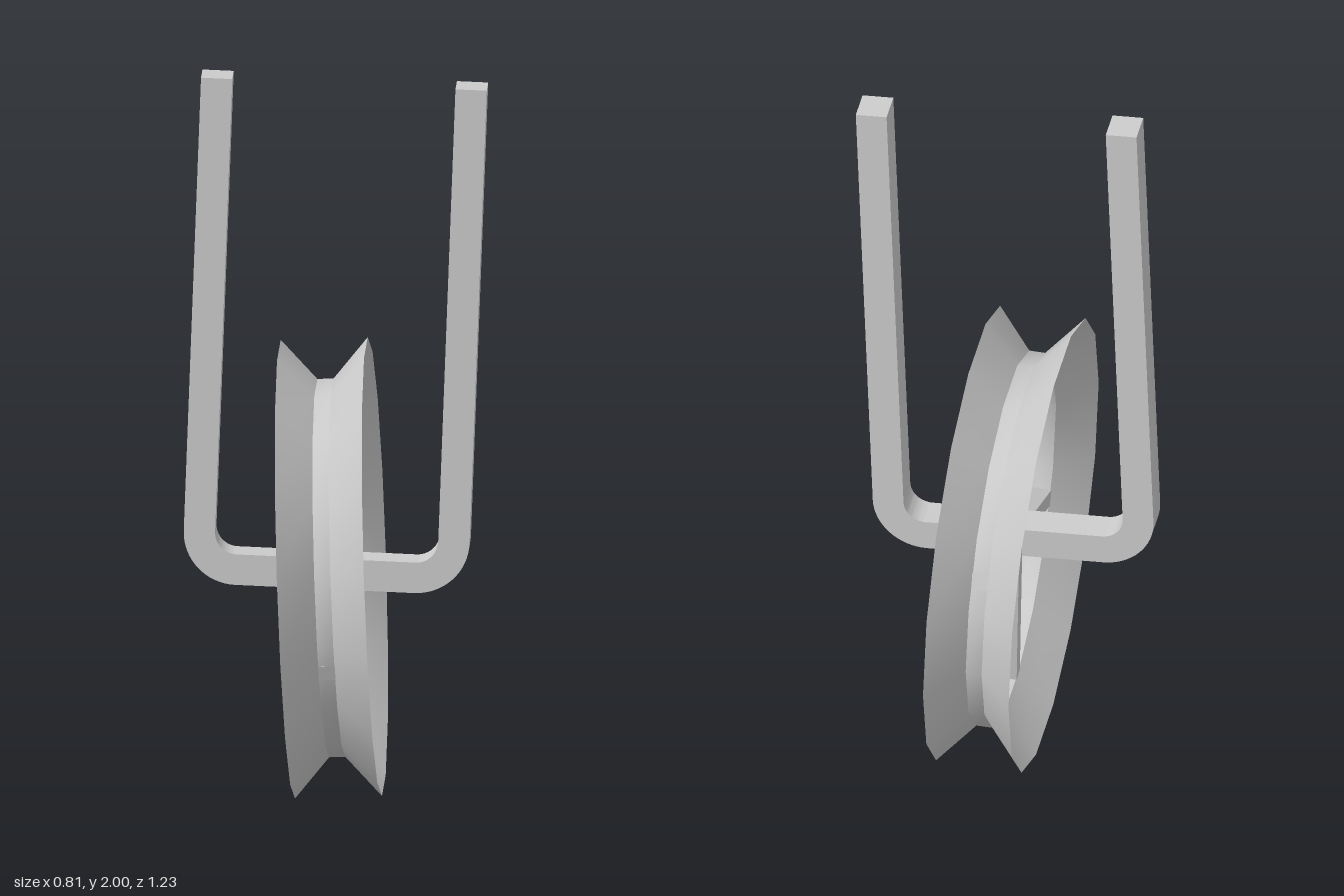
import * as THREE from 'three';
import { toCreasedNormals } from 'three/addons/utils/BufferGeometryUtils.js';

const material = new THREE.MeshStandardMaterial({ color: 0xcccccc });
const sheetMaterial = new THREE.MeshStandardMaterial({ color: 0xcccccc, side: THREE.DoubleSide });
const YAW = 0.34; // turn of the axle about the vertical

function addMesh(parent, name, geometry, mat = material) {
  const mesh = new THREE.Mesh(toCreasedNormals(geometry, 0.6), mat);
  mesh.name = name;
  parent.add(mesh);
  return mesh;
}

// Thin grooved rim with 16 sides, flat at the top and bottom, axle along x
function makeRim() {
  const sides = 16;
  const k = 1 / Math.cos(Math.PI / sides);
  const profile = [[0.61, -0.118], [0.503, -0.022], [0.503, 0.022], [0.61, 0.118]]
    .map(([r, y]) => new THREE.Vector2(r * k, y));
  return new THREE.LatheGeometry(profile, sides, Math.PI / sides).rotateZ(-Math.PI / 2);
}

// Bent bar: from the hub outward, round the bend and straight up
function makeArm() {
  const inner = 0.3025, outer = 0.3875, half = 0.0425, top = 1.365, depth = 0.095;
  const bend = 0.06, bendOut = bend + outer - inner;
  const shape = new THREE.Shape();
  shape.moveTo(0.02, -half);
  shape.lineTo(outer - bendOut, -half);
  shape.absarc(outer - bendOut, bendOut - half, bendOut, -Math.PI / 2, 0, false);
  shape.lineTo(outer, top);
  shape.lineTo(inner, top);
  shape.lineTo(inner, half + bend);
  shape.absarc(inner - bend, half + bend, bend, 0, -Math.PI / 2, true);
  shape.lineTo(0.02, half);
  shape.closePath();
  return new THREE.ExtrudeGeometry(shape, { depth, bevelEnabled: false, curveSegments: 8 })
    .translate(0, 0, -depth / 2);
}

export function createModel() {
  const model = new THREE.Group();
  model.name = 'pulley';

  // Wheel: rim, hub and six spokes
  const wheel = new THREE.Group();
  wheel.name = 'wheel';
  wheel.position.set(-0.026, 0.6175, 0);
  wheel.rotation.set(0, YAW, 0.04);
  model.add(wheel);
  addMesh(wheel, 'rim', makeRim(), sheetMaterial);

  const hubZ = 0.015;
  const hub = addMesh(wheel, 'hub', new THREE.CylinderGeometry(0.08, 0.08, 0.05, 6).rotateZ(Math.PI / 2));
  hub.position.z = hubZ;
  hub.rotation.x = THREE.MathUtils.degToRad(21);
  for (let i = 0; i < 6; i++) {
    const a = THREE.MathUtils.degToRad(21 + i * 60);
    const start = new THREE.Vector3(0, 0, hubZ);
    const end = new THREE.Vector3(0, Math.sin(a), -Math.cos(a)).multiplyScalar(0.504);
    const dir = end.clone().sub(start);
    const spoke = addMesh(wheel, 'spoke', new THREE.BoxGeometry(0.05, dir.length(), 0.045));
    spoke.position.copy(start).lerp(end, 0.5);
    spoke.rotation.x = Math.atan2(dir.z, dir.y);
  }

  // Hanger: two mirrored bent arms holding the hub
  const hanger = new THREE.Group();
  hanger.name = 'hanger';
  hanger.position.set(-0.028, 0.62, 0.034);
  hanger.rotation.set(0, YAW, -0.037);
  model.add(hanger);
  addMesh(hanger, 'leftArm', makeArm());
  addMesh(hanger, 'rightArm', makeArm()).rotation.y = Math.PI;

  return model;
}
